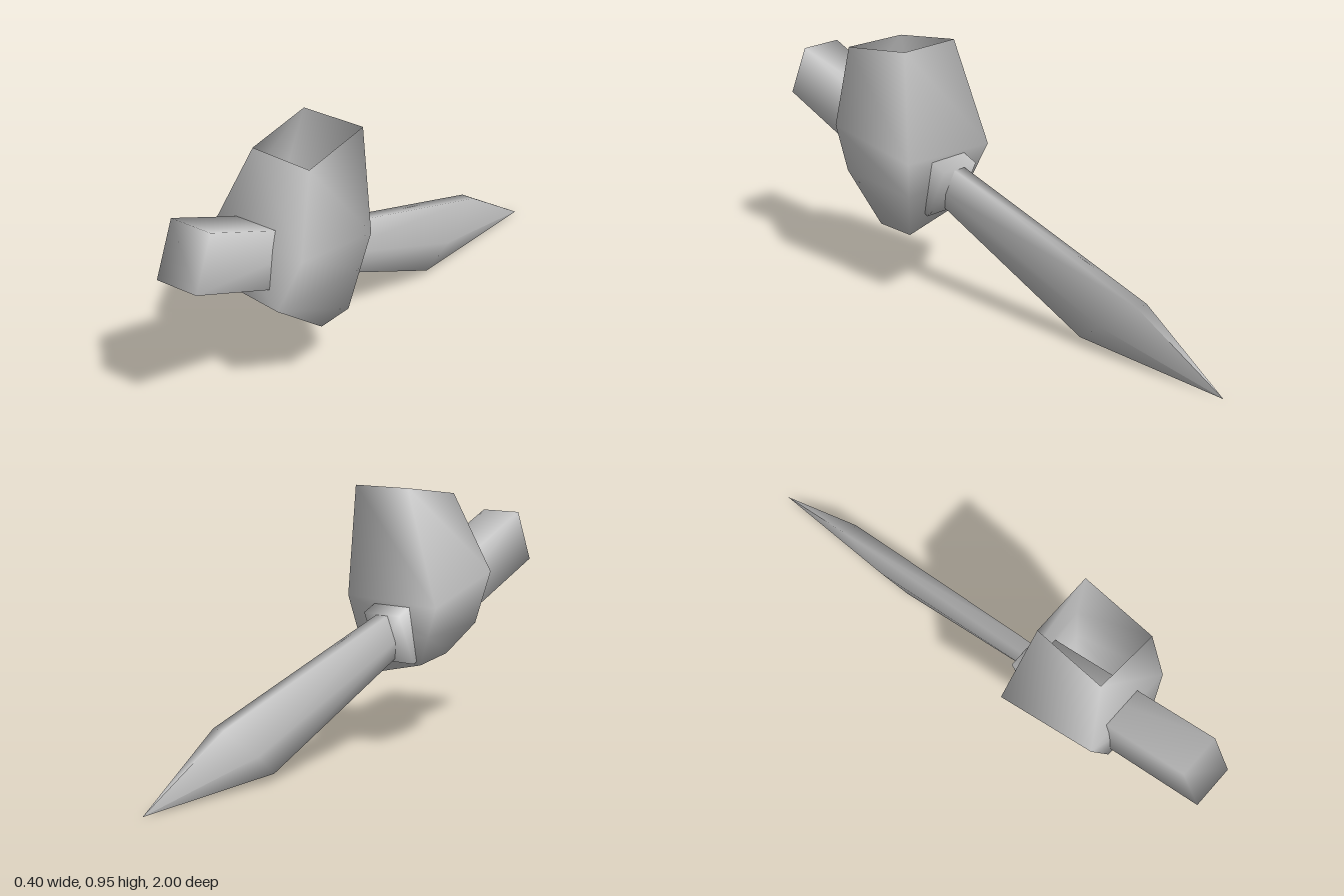
import * as THREE from 'three';

// Skin over rings of [x, y, z] points; each ring runs counter-clockwise seen from the first end.
function loft(name, rings, capStart, capEnd, side = THREE.FrontSide) {
  const n = rings[0].length, last = (rings.length - 1) * n, index = [];
  for (let i = 0; i < rings.length - 1; i++) {
    for (let j = 0; j < n; j++) {
      const a = i * n + j, b = i * n + (j + 1) % n, c = a + n, d = b + n;
      index.push(a, c, d, a, d, b);
    }
  }
  for (let j = 1; j < n - 1; j++) {
    if (capStart) index.push(0, j, j + 1);
    if (capEnd) index.push(last, last + j + 1, last + j);
  }
  const geometry = new THREE.BufferGeometry();
  geometry.setAttribute('position', new THREE.Float32BufferAttribute(rings.flat(2), 3));
  geometry.setIndex(index);
  geometry.computeVertexNormals();
  const mesh = new THREE.Mesh(geometry, new THREE.MeshStandardMaterial({ color: 0xcccccc, side }));
  mesh.name = name;
  return mesh;
}

// Handle cross-section: a rectangle given by its top and bottom [y, z].
const handleRing = (top, bottom, w = 0.08) =>
  [[-w, ...top], [-w, ...bottom], [w, ...bottom], [w, ...top]];

// Blade cross-section: flat spine, parallel sides, then a bevel to the cutting edge.
function bladeRing(spine, edge, w) {
  const mid = spine.map((v, i) => v + (edge[i] - v) * 0.6);
  return [[-w, ...spine], [-w, ...mid], [0, ...edge], [w, ...mid], [w, ...spine]];
}

export function createModel() {
  const group = new THREE.Group();

  // Fist, open at the wrist; corners run back right, front right, front left, back left
  group.add(loft('fist', [
    [[-0.055, 0.955, 0.275], [-0.055, 0.92, 0.545], [0.185, 0.92, 0.56], [0.185, 0.955, 0.275]],
    [[-0.2, 0.54, 0.25], [-0.17, 0.635, 0.62], [0.2, 0.62, 0.625], [0.2, 0.555, 0.25]],
    [[-0.147, 0.43, 0.275], [-0.088, 0.435, 0.64], [0.12, 0.42, 0.655], [0.175, 0.42, 0.277]],
    [[-0.095, 0.32, 0.3], [-0.095, 0.345, 0.455], [0.145, 0.27, 0.455], [0.145, 0.265, 0.305]],
  ], false, true, THREE.DoubleSide));

  // Handle passing through the fist
  group.add(loft('handle', [
    handleRing([0.825, 0.92], [0.64, 1]),
    handleRing([0.508, 0.195], [0.325, 0.28]),
  ], true, true));

  // Blade tapering to a point
  group.add(loft('blade', [
    bladeRing([0.51, 0.215], [0.345, 0.29], 0.025),
    bladeRing([0.225, -0.65], [0.03, -0.38], 0.025),
    bladeRing([0, -1], [0, -1], 0),
  ], true, false));

  return group;
}
